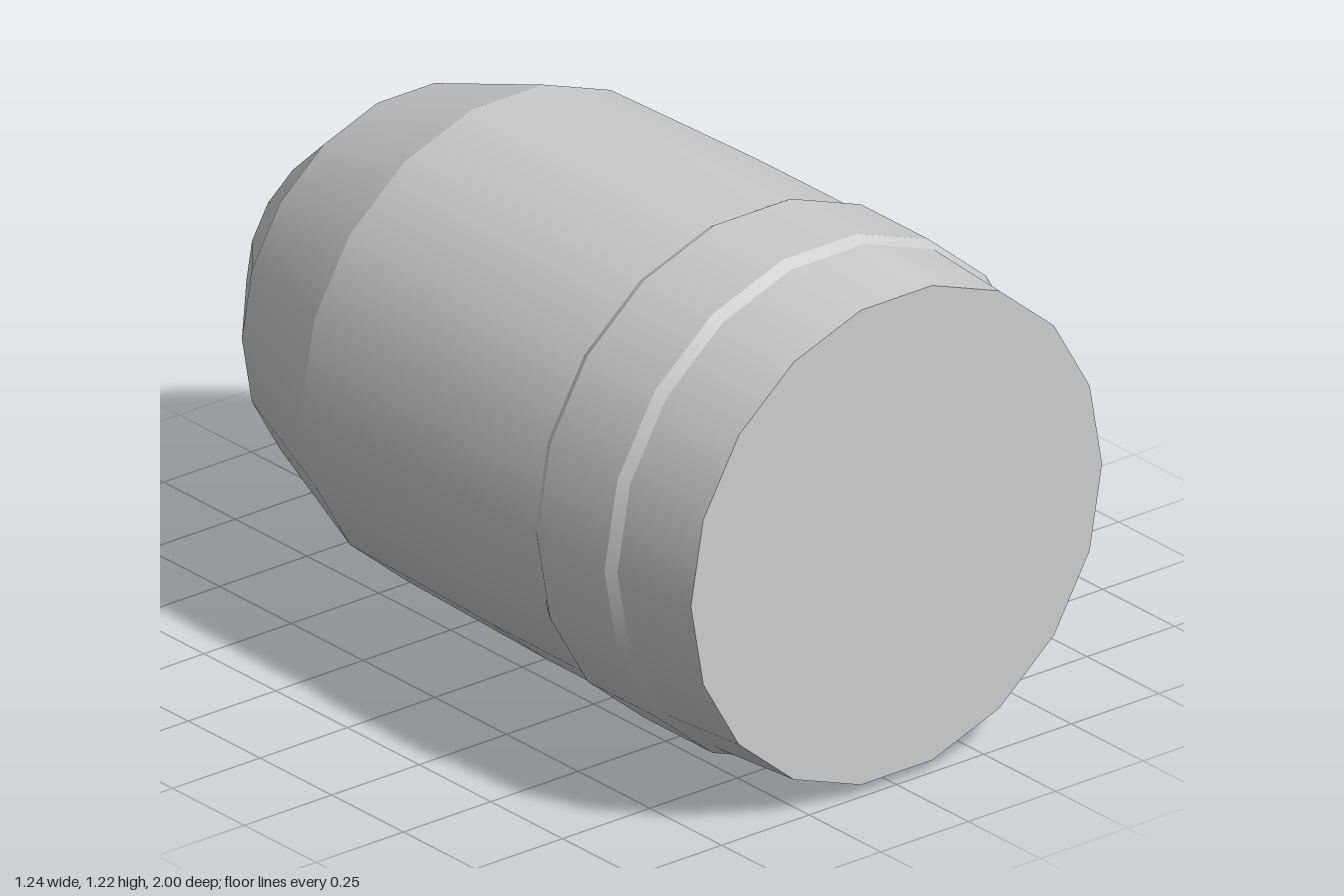
import * as THREE from 'three';

const SIDES = 18;
const CENTER_Y = 0.6085;

export function createModel() {
  const model = new THREE.Group();
  model.name = 'bullet';
  const metal = new THREE.MeshStandardMaterial({ color: 0xcccccc });
  metal.name = 'plainGrey';

  // Each band is a [z, radius] run, smooth around and creased at its ends
  const bands = {
    noseTip: [[-1, 0], [-0.945, 0.263]],
    noseCone: [[-0.945, 0.263], [-0.71, 0.469]],
    shoulder: [[-0.71, 0.469], [-0.355, 0.589]],
    body: [[-0.355, 0.589], [0.15, 0.602], [0.475, 0.603]],
    collarBackBevel: [[0.475, 0.603], [0.5, 0.618]],
    collar: [[0.5, 0.618], [0.735, 0.618]],
    collarFrontBevel: [[0.735, 0.618], [0.762, 0.603]],
    base: [[0.762, 0.603], [1, 0.588]],
  };

  const add = (name, geometry) => {
    const mesh = new THREE.Mesh(geometry.translate(0, CENTER_Y, 0), metal);
    mesh.name = name;
    model.add(mesh);
  };

  for (const [name, run] of Object.entries(bands)) {
    const points = run.map(([z, r]) => new THREE.Vector2(r, z));
    add(name, new THREE.LatheGeometry(points, SIDES, Math.PI / 2).rotateX(Math.PI / 2));
  }

  // Flat end of the base
  add('baseCap', new THREE.CircleGeometry(0.588, SIDES).translate(0, 0, 1));

  return model;
}
